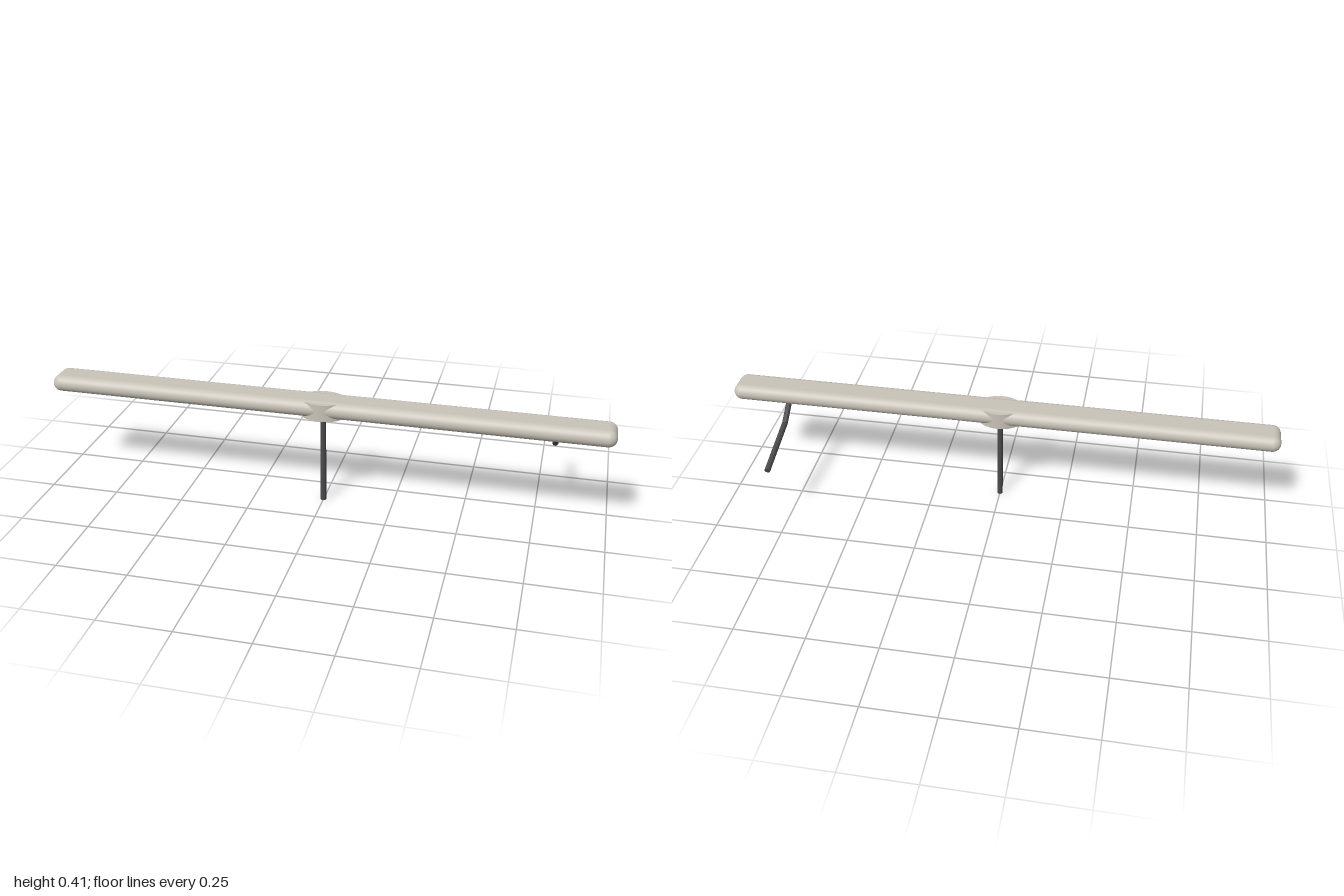
import * as THREE from 'three';
import { RoundedBoxGeometry } from 'three/addons/geometries/RoundedBoxGeometry.js';

const CENTRE_Z = 0.122;

// Round rod in the plane x = const, with mitred bends through [y, z] points
function bentRod(points, radius, sides) {
  const n = points.length - 1;
  const p = points.map(([y, z]) => new THREE.Vector2(y, z));
  const dir = (i) => p[i + 1].clone().sub(p[i]).normalize();
  const rings = p.map((c, i) => {
    const a = dir(Math.max(i - 1, 0));
    const b = dir(Math.min(i, n - 1));
    const t = a.clone().add(b).normalize();
    return { c, t, stretch: 1 / t.dot(a) };
  });
  const geo = new THREE.CylinderGeometry(radius, radius, 1, sides, n);
  const pos = geo.attributes.position;
  for (let i = 0; i < pos.count; i++) {
    const { c, t, stretch } = rings[Math.round((pos.getY(i) + 0.5) * n)];
    const d = pos.getZ(i) * stretch;
    pos.setXYZ(i, pos.getX(i), c.x - t.y * d, c.y + t.x * d);
  }
  const flat = geo.toNonIndexed();
  flat.computeVertexNormals();
  return flat;
}

export function createModel() {
  const model = new THREE.Group();
  model.name = 'barOnStem';

  const paleGrey = new THREE.MeshStandardMaterial({ color: 0xc8c3b8 });
  paleGrey.name = 'paleGrey';
  const darkGrey = new THREE.MeshStandardMaterial({ color: 0x4a4a4d });
  darkGrey.name = 'darkGrey';

  const add = (name, geometry, material, x, y, z) => {
    const mesh = new THREE.Mesh(geometry, material);
    mesh.name = name;
    mesh.position.set(x, y, z);
    model.add(mesh);
  };

  // Long rounded bar
  add('bar', new RoundedBoxGeometry(2, 0.06, 0.12, 6, 0.03), paleGrey, 0, 0.375, CENTRE_Z);

  // Oval hub around the middle of the bar
  const hub = new THREE.CylinderGeometry(1, 1, 0.062, 48);
  hub.scale(0.08, 1, 0.0615);
  add('hub', hub, paleGrey, 0, 0.371, CENTRE_Z);

  // Upright stem with a slightly eased foot
  const stem = new THREE.LatheGeometry([
    new THREE.Vector2(0, 0),
    new THREE.Vector2(0.009, 0),
    new THREE.Vector2(0.0105, 0.002),
    new THREE.Vector2(0.0105, 0.345),
  ], 16);
  add('stem', stem, darkGrey, 0, 0, CENTRE_Z);

  // Bent lever under the left end, reaching backwards
  const lever = bentRod([[0.347, 0.126], [0.284, 0.042], [0.225, -0.179]], 0.0105, 10);
  add('lever', lever, darkGrey, 0.8, 0, 0);

  return model;
}
